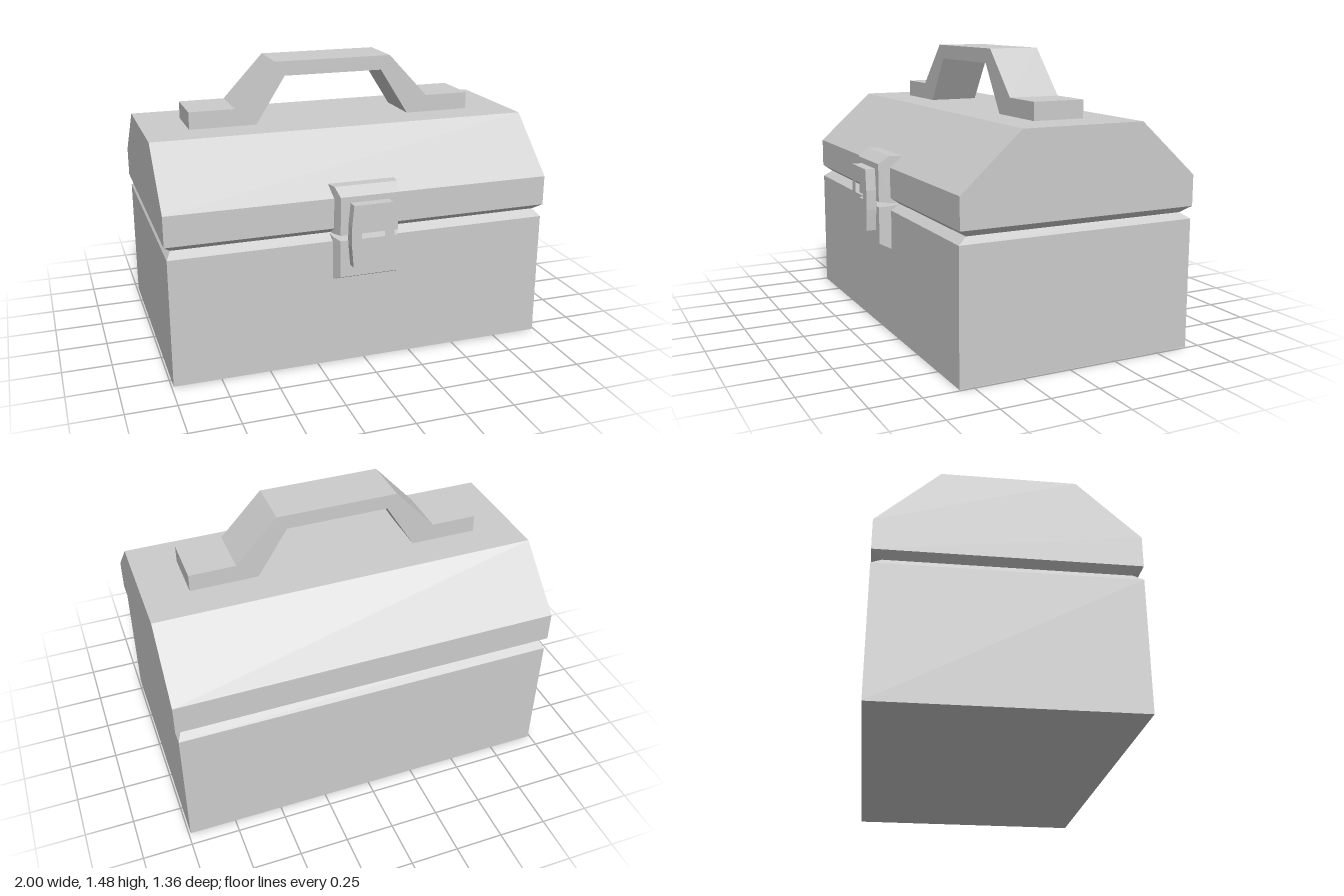
import * as THREE from 'three';

const material = new THREE.MeshStandardMaterial({ color: 0xcccccc, flatShading: true });

// Closed solid through four-cornered rings, counter-clockwise seen from the last ring
function loft(rings) {
  const pos = [];
  const tri = (a, b, c) => pos.push(...a, ...b, ...c);
  const quad = (a, b, c, d) => { tri(a, b, c); tri(a, c, d); };
  for (let k = 0; k < rings.length - 1; k++) {
    const lo = rings[k], hi = rings[k + 1];
    for (let i = 0; i < 4; i++) {
      const j = (i + 1) % 4;
      quad(lo[i], lo[j], hi[j], hi[i]);
    }
  }
  quad(...[...rings[0]].reverse());
  quad(...rings[rings.length - 1]);
  const g = new THREE.BufferGeometry();
  g.setAttribute('position', new THREE.Float32BufferAttribute(pos, 3));
  g.computeVertexNormals();
  return g;
}

// Ring at height y: half width, front z, back z
const flatRing = ([y, w, f, b]) => [[-w, y, f], [w, y, f], [w, y, b], [-w, y, b]];
// Ring at depth z: half width, bottom y, top y
const uprightRing = ([z, w, b, t]) => [[-w, b, z], [w, b, z], [w, t, z], [-w, t, z]];

function extrude(shape, z, depth) {
  const g = new THREE.ExtrudeGeometry(shape, { depth, bevelEnabled: false });
  return g.translate(0, 0, z);
}

// Left-right symmetric outline from the points of its +x half, top to bottom
function mirrored(half) {
  return [...half, ...half.map(([x, y]) => [-x, y]).reverse()]
    .map(([x, y]) => new THREE.Vector2(x, y));
}

export function createModel() {
  const group = new THREE.Group();
  const add = (name, geometry) => {
    const mesh = new THREE.Mesh(geometry, material);
    mesh.name = name;
    group.add(mesh);
  };

  // Box with its rim chamfered into the seam
  add('base', loft([
    [0, 0.99, 0.57, -0.68],
    [0.66, 0.99, 0.57, -0.68],
    [0.692, 0.965, 0.525, -0.63],
  ].map(flatRing)));

  // Lid with chamfered rim and sloping front and back
  add('lid', loft([
    [0.692, 0.965, 0.525, -0.63],
    [0.725, 1, 0.57, -0.68],
    [0.88, 1, 0.57, -0.68],
    [1.155, 1, 0.265, -0.375],
  ].map(flatRing)));

  // Carrying handle with flat feet
  add('handle', extrude(new THREE.Shape(mirrored([
    [0.315, 1.475], [0.53, 1.245], [0.77, 1.245],
    [0.77, 1.155], [0.42, 1.155], [0.265, 1.4],
  ])), -0.19, 0.27));

  // Latch plates on the lid and on the box
  add('upperLatchPlate', loft([
    [0.5, 0.176, 0.693, 0.937],
    [0.573, 0.163, 0.698, 0.94],
    [0.628, 0.15, 0.705, 0.9],
  ].map(uprightRing)));
  add('lowerLatchPlate', loft([
    [0.53, 0.175, 0.46, 0.688],
    [0.573, 0.17, 0.46, 0.683],
    [0.628, 0.15, 0.487, 0.677],
  ].map(uprightRing)));

  // Open clasp frame bridging both plates
  const clasp = new THREE.Shape(mirrored([[0.1, 0.87], [0.11, 0.76], [0.11, 0.66], [0.1, 0.55]]));
  clasp.holes.push(new THREE.Path(
    mirrored([[0.047, 0.825], [0.06, 0.75], [0.06, 0.67], [0.047, 0.59]])));
  add('clasp', extrude(clasp, 0.625, 0.055));

  return group;
}
